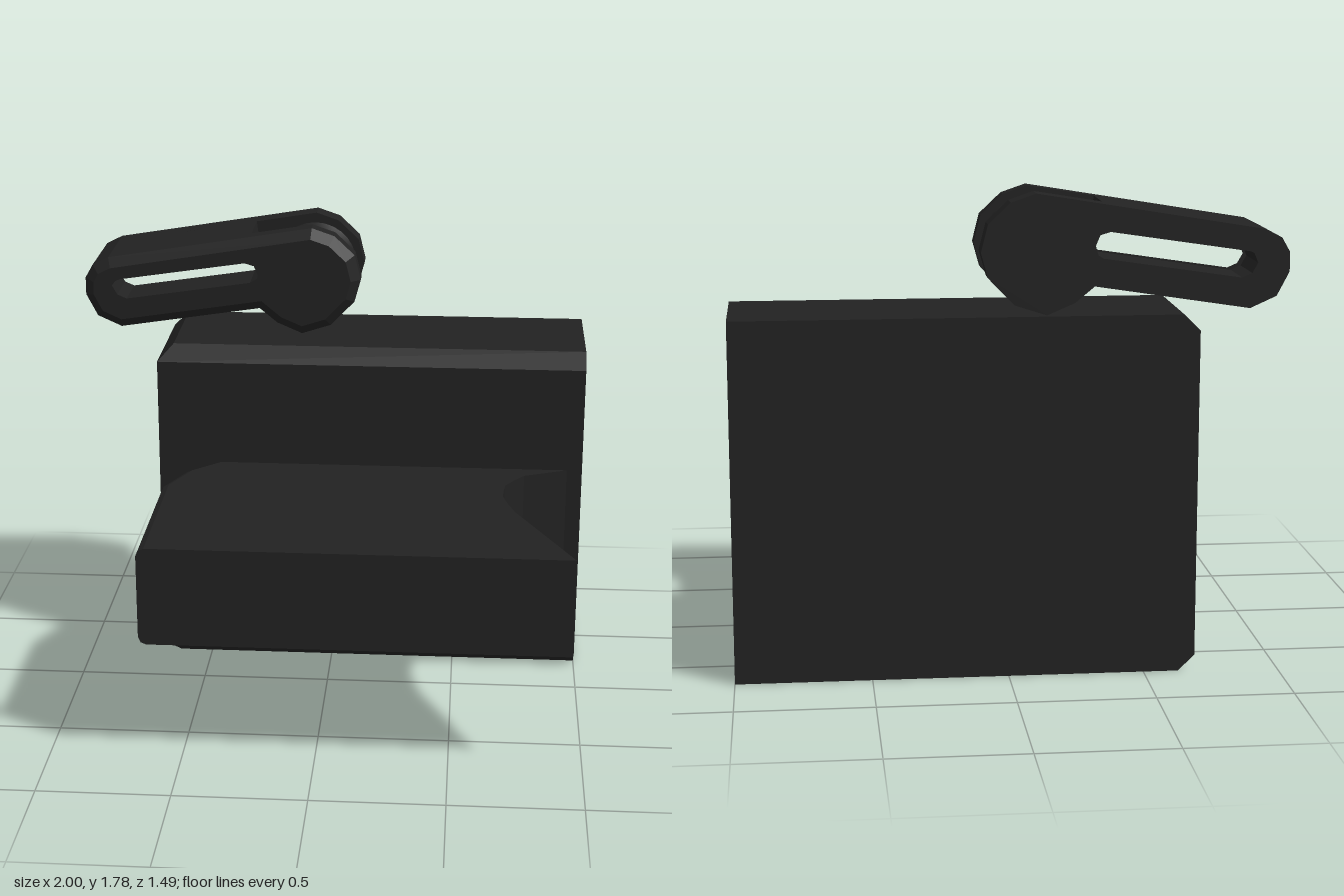
import * as THREE from 'three';

const V2 = (p) => new THREE.Vector2(p[0], p[1]);

// Solid stacked from [height, outline] rings; outlines are [x, z] lists
function loft(rings) {
  const pos = [];
  const layers = rings.map(([y, pts]) => {
    const flip = THREE.ShapeUtils.area(pts.map(([x, z]) => new THREE.Vector2(x, -z))) < 0;
    const list = flip ? [...pts].reverse() : pts;
    return list.map(([x, z]) => [x, y, z]);
  });
  const tri = (a, b, c) => pos.push(...a, ...b, ...c);
  for (let k = 0; k < layers.length - 1; k++) {
    const lo = layers[k], hi = layers[k + 1];
    lo.forEach((a, i) => {
      const j = (i + 1) % lo.length;
      tri(a, lo[j], hi[j]);
      tri(a, hi[j], hi[i]);
    });
  }
  const bottom = layers[0], top = layers[layers.length - 1];
  const faces = (l) => THREE.ShapeUtils.triangulateShape(l.map((p) => new THREE.Vector2(p[0], -p[2])), []);
  faces(top).forEach(([a, b, c]) => tri(top[a], top[b], top[c]));
  faces(bottom).forEach(([a, b, c]) => tri(bottom[a], bottom[c], bottom[b]));
  const g = new THREE.BufferGeometry();
  g.setAttribute('position', new THREE.Float32BufferAttribute(pos, 3));
  g.computeVertexNormals();
  return g;
}

// Plate in the xy plane between two z values
function plate(outline, hole, z0, z1) {
  const shape = new THREE.Shape(outline.map(V2));
  if (hole) shape.holes.push(new THREE.Path(hole.map(V2)));
  const g = new THREE.ExtrudeGeometry(shape, { depth: z1 - z0, bevelEnabled: false });
  g.translate(0, 0, z0);
  return g;
}

// Pull the outer rim of a plate's front face inwards (outline is clockwise)
function chamferFront(g, outline, zFront, inset) {
  const n = outline.length;
  const moved = outline.map((p, i) => {
    const cur = V2(p);
    const a = cur.clone().sub(V2(outline[(i + n - 1) % n])).normalize();
    const b = V2(outline[(i + 1) % n]).sub(cur).normalize();
    const na = new THREE.Vector2(a.y, -a.x), nb = new THREE.Vector2(b.y, -b.x);
    const m = na.clone().add(nb).normalize();
    return cur.addScaledVector(m, inset / m.dot(na));
  });
  const pos = g.attributes.position;
  for (let i = 0; i < pos.count; i++) {
    if (Math.abs(pos.getZ(i) - zFront) > 1e-4) continue;
    const k = outline.findIndex(([x, y]) => Math.hypot(x - pos.getX(i), y - pos.getY(i)) < 1e-4);
    if (k >= 0) pos.setXY(i, moved[k].x, moved[k].y);
  }
  g.computeVertexNormals();
  return g;
}

export function createModel() {
  const group = new THREE.Group();
  const black = new THREE.MeshStandardMaterial({ color: 0x222222 });
  black.name = 'black';
  const add = (name, geometry, parent = group) => {
    const mesh = new THREE.Mesh(geometry, black);
    mesh.name = name;
    parent.add(mesh);
    return mesh;
  };

  // Main block, chamfered along the front and one end
  const rect = (c) => [[-0.69 + c, -0.19 - c], [1, -0.19 - c], [1, -0.71], [-0.69 + c, -0.71]];
  add('mainBlock', loft([[0, rect(0.06)], [0.06, rect(0)], [1.275, rect(0)], [1.335, rect(0.06)]]));

  // Shelf with a scooped end
  const shelf = (c) => [
    [-0.645 + c, 0.74], [0.945, 0.74], [0.73, 0.28], [0.705, 0.2], [0.685, 0.12], [0.688, 0.06],
    [0.695, 0], [0.73, -0.06], [0.77, -0.115], [0.94, -0.19],
    [-0.47 + c, -0.19], [-0.575 + c, -0.085], [-0.645 + c, 0.085],
  ];
  add('shelf', loft([[0.48, shelf(0.03)], [0.488, shelf(0.01)], [0.51, shelf(0)],
    [0.83, shelf(0)], [0.852, shelf(0.01)], [0.86, shelf(0.03)]]));

  // Lever: slotted arm with a forked round head
  const lever = new THREE.Group();
  lever.name = 'lever';
  group.add(lever);
  const armEnd = [[-0.86, 1.36], [-0.955, 1.403], [-1, 1.49], [-1, 1.56], [-0.97, 1.612], [-0.906, 1.644]];
  const head = [[-0.09, 1.777], [0, 1.746], [0.08, 1.67], [0.105, 1.57], [0.08, 1.48], [-0.015, 1.382],
    [-0.13, 1.345], [-0.23, 1.388], [-0.3, 1.446]];
  const outline = [...armEnd, ...head];
  const slotLeft = [[-0.848, 1.457], [-0.885, 1.473], [-0.906, 1.51], [-0.89, 1.548], [-0.858, 1.564]];
  const slotRight = [[-0.355, 1.639], [-0.318, 1.628], [-0.302, 1.59], [-0.313, 1.553], [-0.345, 1.532]];
  const slot = [...slotLeft, ...slotRight];
  add('rearForkPlate', plate(outline, slot, -0.745, -0.655), lever);
  add('frontForkPlate', plate(outline, slot, -0.455, -0.392), lever);
  add('frontForkChamfer', chamferFront(plate(outline, slot, -0.392, -0.355), outline, -0.355, 0.037), lever);

  // Middle of the arm, its slot opening into the fork
  const middle = [...armEnd, [-0.335, 1.737], [-0.322, 1.63], slotRight[0],
    ...[...slotLeft].reverse(), slotRight[4], [-0.316, 1.55], [-0.3, 1.446]];
  add('armCore', plate(middle, null, -0.655, -0.455), lever);

  // Waisted pivot pin between the fork plates
  const profile = [];
  for (let i = 0; i <= 10; i++) {
    const t = i / 5 - 1;
    profile.push(new THREE.Vector2(0.13 + 0.037 * t * t, 0.1 * t));
  }
  const pin = add('pivotPin', new THREE.LatheGeometry(profile, 28), lever);
  pin.rotation.x = Math.PI / 2;
  pin.position.set(-0.095, 1.57, -0.555);

  return group;
}
